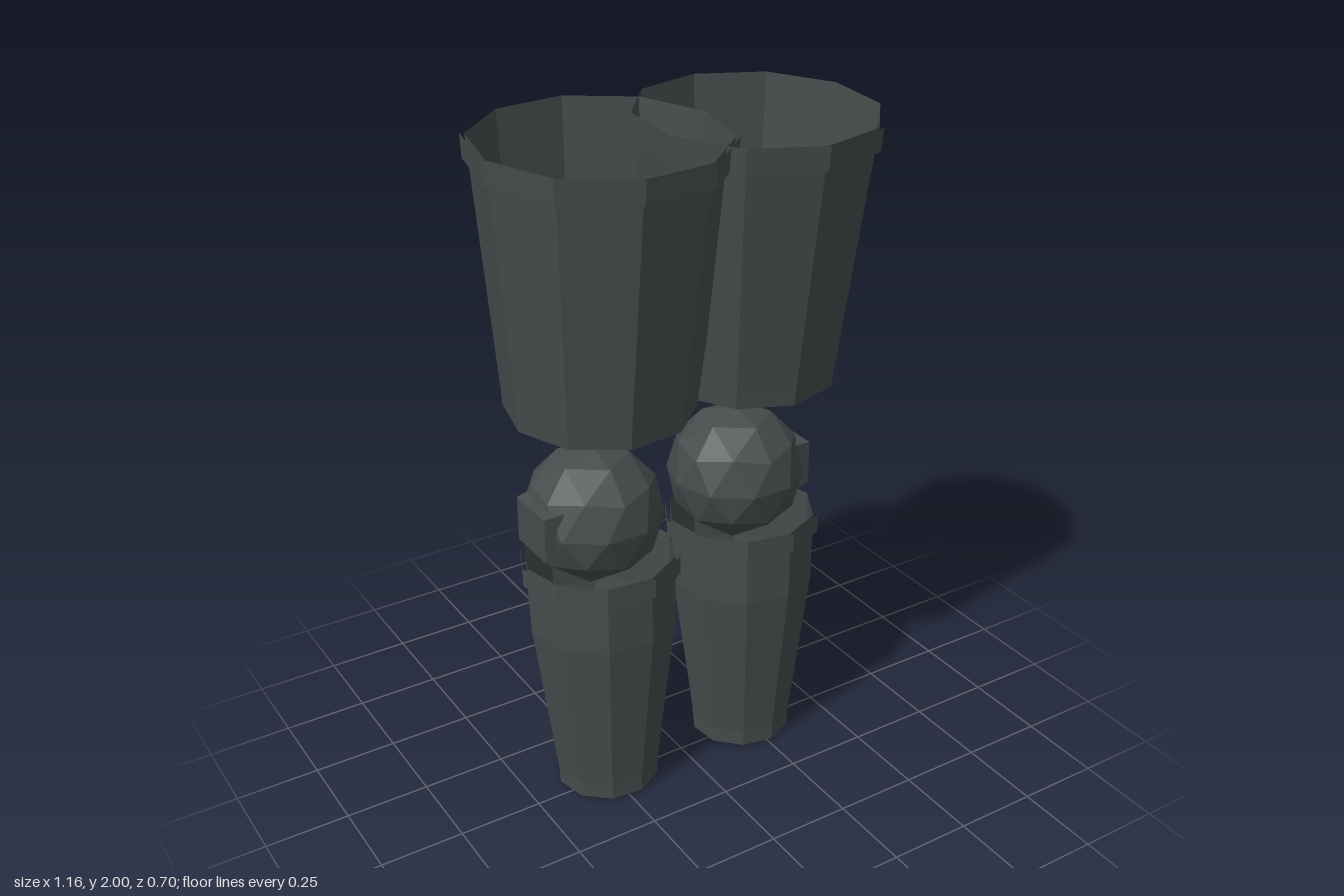
import * as THREE from 'three';

const SIDES = 10;

export function createModel() {
  const model = new THREE.Group();
  model.name = 'legArmour';

  const steel = new THREE.MeshStandardMaterial({ color: 0x464b4c, flatShading: true });
  steel.name = 'dark steel';
  const steelShell = new THREE.MeshStandardMaterial({ color: 0x464b4c, flatShading: true, side: THREE.DoubleSide });
  steelShell.name = 'dark steel shell';

  // Ten-sided ring surface from [radius, height] pairs, bottom to top
  const ring = (name, profile, turn, material) => {
    const points = profile.map(([r, y]) => new THREE.Vector2(r, y));
    const mesh = new THREE.Mesh(
      new THREE.LatheGeometry(points, SIDES, THREE.MathUtils.degToRad(turn)), material);
    mesh.name = name;
    return mesh;
  };

  // Open tube with an outer rim band around its top
  const guard = (name, profile, rim, turn) => {
    const group = new THREE.Group();
    group.name = name;
    group.add(ring(name + 'Shell', profile, turn, steelShell));
    group.add(ring(name + 'Rim', rim, turn, steel));
    return group;
  };

  for (const [side, s, thighTurn, shinTurn] of [['left', 1, 33, 7], ['right', -1, 24, 12]]) {
    // Thigh guard, leaning slightly forward
    const thigh = guard(side + 'Thigh',
      [[0.264, 0], [0.267, 0.042], [0.336, 0.755]],
      [[0.33, 0.692], [0.345, 0.692], [0.349, 0.757]], thighTurn);
    thigh.position.set(s * 0.236, 1.23, -0.038);
    thigh.rotation.x = 0.048;
    model.add(thigh);

    // Shin guard, leaning slightly back
    const shin = guard(side + 'Shin',
      [[0.154, 0], [0.156, 0.05], [0.174, 0.2], [0.217, 0.55], [0.22, 0.762]],
      [[0.219, 0.708], [0.234, 0.708], [0.234, 0.764]], shinTurn);
    shin.position.set(s * 0.243, 0.003, -0.037);
    shin.rotation.x = -0.02;
    model.add(shin);

    // Faceted knee ball
    const ball = new THREE.IcosahedronGeometry(0.204, 1);
    ball.rotateX(-Math.atan((1 + Math.sqrt(5)) / 2));
    const knee = new THREE.Mesh(ball, steel);
    knee.name = side + 'Knee';
    knee.position.set(s * 0.242, 0.883, -0.085);
    model.add(knee);

    // Tapered plate on the outer side of the knee
    const block = new THREE.BoxGeometry(0.06, 0.15, 0.18);
    const p = block.attributes.position;
    for (let i = 0; i < p.count; i++) {
      if (p.getX(i) * s > 0) p.setXYZ(i, p.getX(i), p.getY(i) * 0.9, p.getZ(i) * 0.9);
    }
    const plate = new THREE.Mesh(block, steel);
    plate.name = side + 'KneePlate';
    plate.position.set(s * 0.415, 0.885, -0.072);
    model.add(plate);
  }
  return model;
}
